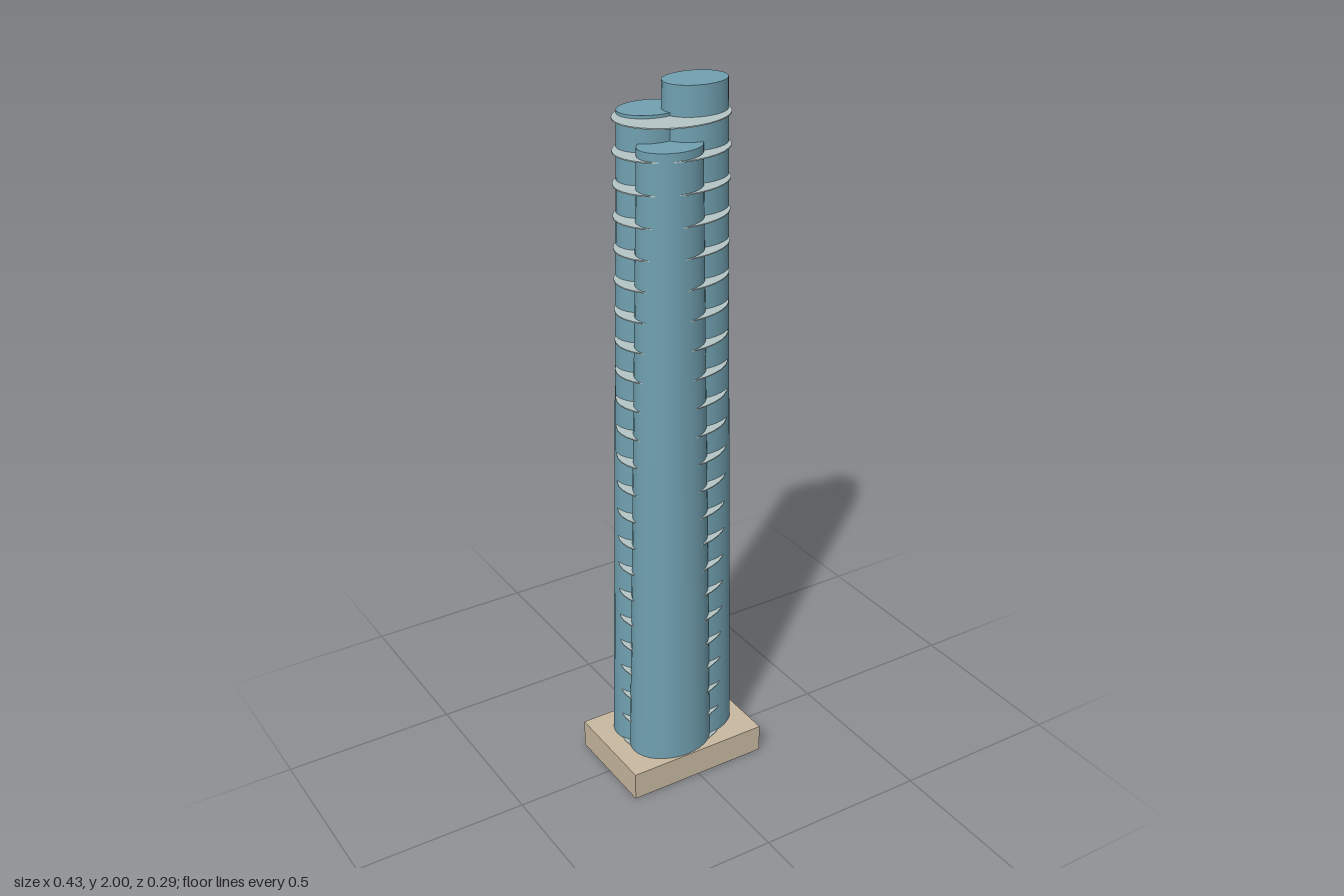
import * as THREE from 'three';

const GLASS = new THREE.MeshStandardMaterial({ color: 0x70a0b0 });
const SLAB = new THREE.MeshStandardMaterial({ color: 0xb4c4c4 });
const STONE = new THREE.MeshStandardMaterial({ color: 0xc8b8a0 });
const DEPTH_RATIO = 0.78; // every oval is flattened along z

// Oval column standing between two heights
function oval(name, material, rTop, rBottom, y0, y1, x = 0, z = 0) {
  const geometry = new THREE.CylinderGeometry(rTop, rBottom, y1 - y0, 32);
  geometry.scale(1, 1, DEPTH_RATIO);
  const mesh = new THREE.Mesh(geometry, material);
  mesh.name = name;
  mesh.position.set(x, (y0 + y1) / 2, z);
  return mesh;
}

export function createModel() {
  const model = new THREE.Group();
  model.name = 'skyscraper';

  // Plinth
  const baseHeight = 0.083;
  const plinth = new THREE.Mesh(new THREE.BoxGeometry(0.426, baseHeight, 0.294), STONE);
  plinth.name = 'plinth';
  plinth.position.y = baseHeight / 2;
  model.add(plinth);

  // Three tapering lobes of different heights
  const lobes = [
    ['tallLobe', 0.067, 0, 2],
    ['backLobe', -0.035, -0.047, 1.93],
    ['frontLobe', -0.035, 0.047, 1.86],
  ];
  for (const [name, x, z, top] of lobes) {
    model.add(oval(name, GLASS, 0.0875, 0.125, 0.002, top, x, z));
  }

  // Evenly spaced floor slabs showing in the gaps between the lobes
  const slabs = new THREE.Group();
  slabs.name = 'floorSlabs';
  const spacing = 0.0835;
  for (let i = 1; i <= 23; i++) {
    const y = i * spacing;
    slabs.add(oval('floorSlab', SLAB, 0.157, 0.157, y - 0.0015, y + 0.0015));
  }
  model.add(slabs);

  return model;
}
